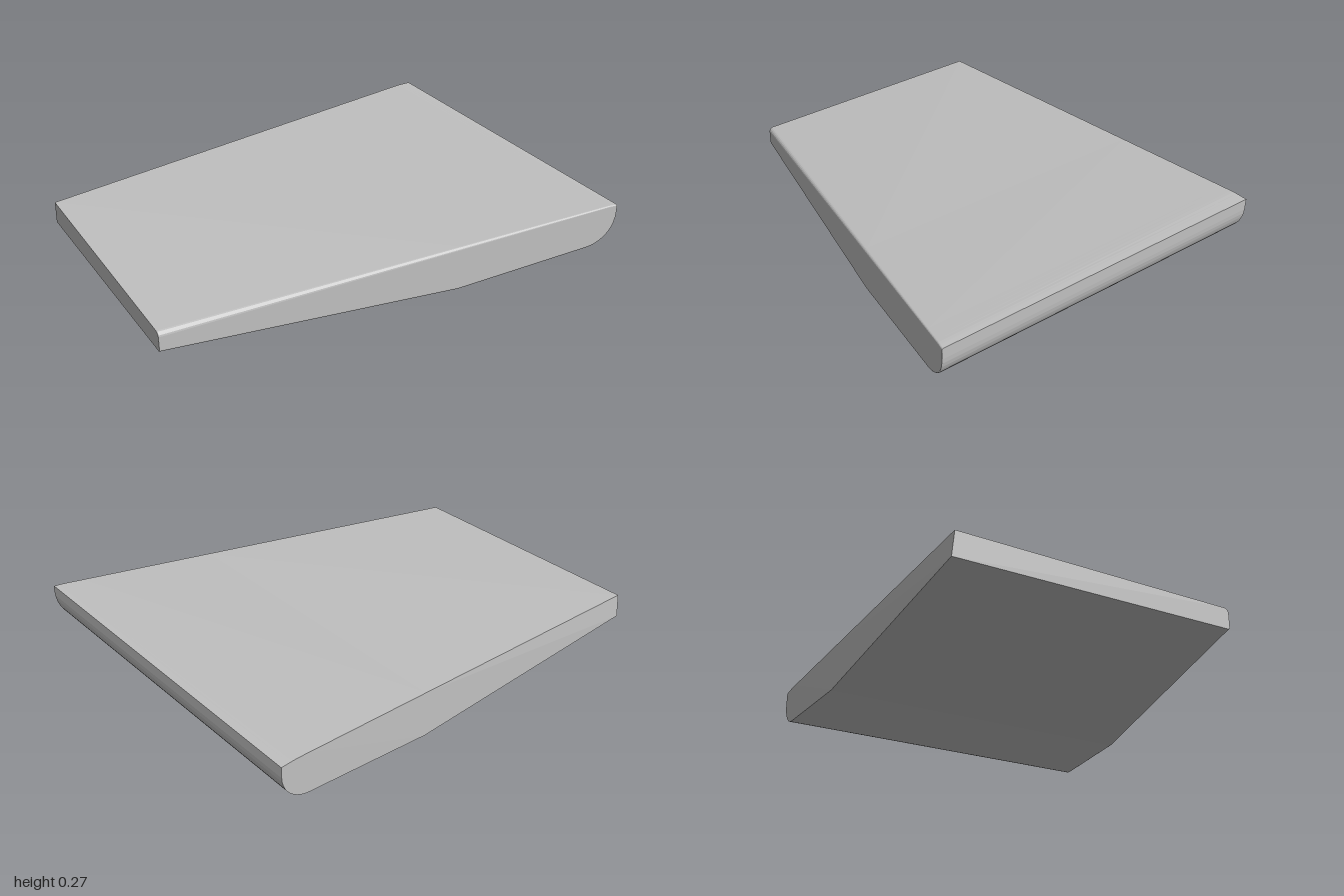
import * as THREE from 'three';

const lerp = THREE.MathUtils.lerp;

// Underside as [x, y]: flat base, shallow rise, then a rounded nose
function undersidePoints() {
  const points = [[-1, 0], [0.27, 0]];
  const steps = 10;
  for (let i = 0; i <= steps; i++) {
    const a = lerp(-83, 0, i / steps) * Math.PI / 180;
    points.push([0.855 + 0.145 * Math.cos(a), 0.22 + 0.145 * Math.sin(a)]);
  }
  return points;
}

// Closed section in z and y, from back bottom round the front to back top
function section([x, bottom]) {
  const t = (x + 1) / 2;
  const front = lerp(0.4, 0.79, t);
  const topBack = Math.min(0.27, 0.11 + (x + 1) * 0.083);
  const topFront = Math.min(0.27, 0.092 + (x + 1) * 0.0905);
  const rBottom = 0.01;
  const rTop = lerp(0.02, 0.006, t);
  const loop = [[-0.79, bottom]];
  const corner = (z, y, r, start) => {
    for (let i = 0; i <= 4; i++) {
      const a = start + (i / 4) * Math.PI / 2;
      loop.push([z + r * Math.cos(a), y + r * Math.sin(a)]);
    }
  };
  corner(front - rBottom, bottom + rBottom, rBottom, -Math.PI / 2);
  corner(front - rTop, topFront - rTop, rTop, 0);
  loop.push([lerp(-0.78, -0.79, t), topBack]);
  return loop.map(([z, y]) => new THREE.Vector3(x, y, z));
}

// Skin the sections and close both ends
function skin(sections) {
  const positions = [];
  const tri = (...corners) => corners.forEach((p) => positions.push(p.x, p.y, p.z));
  const n = sections[0].length;
  for (let s = 0; s < sections.length - 1; s++) {
    for (let i = 0; i < n; i++) {
      const j = (i + 1) % n;
      const [a, b, c, d] = [sections[s][i], sections[s][j], sections[s + 1][i], sections[s + 1][j]];
      tri(a, c, b);
      tri(b, c, d);
    }
  }
  const first = sections[0];
  const last = sections[sections.length - 1];
  for (let i = 1; i < n - 1; i++) {
    tri(first[0], first[i], first[i + 1]);
    tri(last[0], last[i + 1], last[i]);
  }
  const geometry = new THREE.BufferGeometry();
  geometry.setAttribute('position', new THREE.Float32BufferAttribute(positions, 3));
  geometry.computeVertexNormals();
  return geometry;
}

export function createModel() {
  const group = new THREE.Group();
  group.name = 'taperedWedge';
  const grey = new THREE.MeshStandardMaterial({ color: 0xc0c0c0 });
  grey.name = 'grey';

  // Solid tapered body
  const body = new THREE.Mesh(skin(undersidePoints().map(section)), grey);
  body.name = 'wedgeBody';
  group.add(body);
  return group;
}
